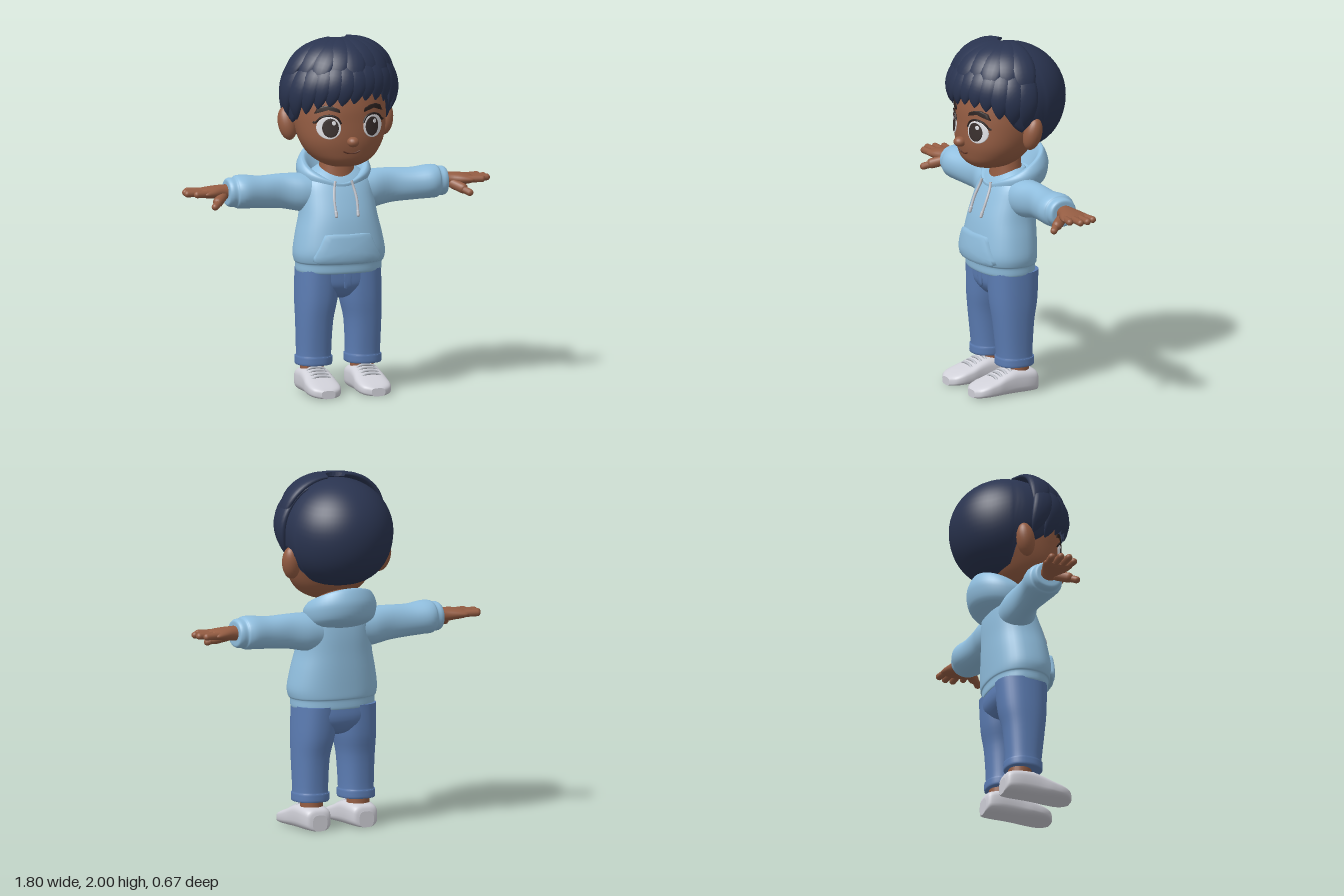
import * as THREE from 'three';

const mat = (name, color) => Object.assign(new THREE.MeshStandardMaterial({ color }), { name });

export function createModel() {
  const root = new THREE.Group();
  root.name = 'boyInHoodie';
  const skin = mat('skin', 0x955d43), hair = mat('hair', 0x2a3450), hoodie = mat('hoodie', 0x90bede),
    denim = mat('denim', 0x5c7db4), shoe = mat('shoe', 0xd0d0d8), white = mat('eyeWhite', 0xe8e8ec),
    dark = mat('pupil', 0x3a302e), brow = mat('brow', 0x2b211f), cord = mat('cord', 0xbfc2ca), lip = mat('mouthLine', 0x5a3226);

  const add = (name, geometry, material) => {
    const m = new THREE.Mesh(geometry, material);
    m.name = name;
    root.add(m);
    return m;
  };

  // Catmull-Rom in-betweens for rows of section numbers
  const smooth = (rows, k = 4) => {
    const out = [];
    for (let i = 0; i < rows.length - 1; i++) for (let s = 0; s < k; s++) {
      const t = s / k;
      out.push(rows[i].map((b, c) => {
        const a = rows[Math.max(i - 1, 0)][c], d = rows[i + 1][c], e = rows[Math.min(i + 2, rows.length - 1)][c];
        const v = 0.5 * (2 * b + (d - a) * t + (2 * a - 5 * b + 4 * d - e) * t * t + (3 * b - a - 3 * d + e) * t ** 3);
        return Math.min(Math.max(v, Math.min(b, d)), Math.max(b, d));
      }));
    }
    out.push(rows[rows.length - 1]);
    return out;
  };

  // Closed skin over rings of points, capped at both ends and turned outward
  const loft = (rings) => {
    const n = rings[0].length, p = rings.flat(), idx = [];
    for (let i = 0; i < rings.length - 1; i++) for (let j = 0; j < n; j++) {
      const a = i * n + j, b = i * n + (j + 1) % n;
      idx.push(a, b, a + n, b, b + n, a + n);
    }
    [rings[0], rings[rings.length - 1]].forEach((ring, end) => {
      const o = p.length;
      p.push(...ring, [0, 1, 2].map(c => ring.reduce((s, q) => s + q[c], 0) / n));
      for (let j = 0; j < n; j++) {
        const a = o + j, b = o + (j + 1) % n;
        idx.push(...(end ? [a, b, o + n] : [b, a, o + n]));
      }
    });
    let vol = 0;
    for (let i = 0; i < idx.length; i += 3) {
      const [a, b, c] = [p[idx[i]], p[idx[i + 1]], p[idx[i + 2]]];
      vol += a[0] * (b[1] * c[2] - b[2] * c[1]) + a[1] * (b[2] * c[0] - b[0] * c[2]) + a[2] * (b[0] * c[1] - b[1] * c[0]);
    }
    if (vol < 0) idx.reverse();
    const g = new THREE.BufferGeometry();
    g.setAttribute('position', new THREE.Float32BufferAttribute(p.flat(), 3));
    g.setIndex(idx);
    g.computeVertexNormals();
    return g;
  };
  const oval = (n, e, fn) => Array.from({ length: n }, (_, i) => {
    const a = i / n * Math.PI * 2, c = Math.cos(a), s = Math.sin(a);
    return fn(Math.sign(c) * Math.abs(c) ** (2 / e), Math.sign(s) * Math.abs(s) ** (2 / e));
  });
  // Upright body from rows [y, centreZ, radiusX, radiusZ, centreX]
  const upright = (rows, e = 2, side = 1) => loft(rows.map(([y, cz, rx, rz, cx = 0]) =>
    oval(40, e, (c, s) => [side * (cx + rx * c), y, cz + rz * s])));
  // Front surface of such a body
  const front = (rows, e) => (x, y) => {
    let i = 0;
    while (i < rows.length - 2 && rows[i + 1][0] < y) i++;
    const t = (y - rows[i][0]) / (rows[i + 1][0] - rows[i][0]);
    const [, cz, rx, rz] = rows[i].map((v, c) => v + (rows[i + 1][c] - v) * t);
    return cz + rz * Math.max(0, 1 - (Math.abs(x) / rx) ** e) ** (1 / e);
  };
  // Thin plate that follows a front surface
  const plate = (surface, outline, lift) => {
    const cx = outline.reduce((s, p) => s + p[0], 0) / outline.length, cy = outline.reduce((s, p) => s + p[1], 0) / outline.length;
    return loft([[1, -0.004], [1, lift * 0.7], [0.96, lift], [0.75, lift], [0.5, lift], [0.25, lift], [0.03, lift]].map(([k, o]) =>
      outline.map(([x, y]) => {
        const px = cx + (x - cx) * k, py = cy + (y - cy) * k;
        return [px, py, surface(px, py) + o];
      })));
  };
  const disc = (cx, cy, rx, ry) => oval(28, 2, (c, s) => [cx + rx * c, cy + ry * s]);
  const tube = (pts, r) => new THREE.TubeGeometry(new THREE.CatmullRomCurve3(pts.map(p => new THREE.Vector3(...p))), 16, r, 8);
  const capsule = (name, a, b, r, material) => {
    const A = new THREE.Vector3(...a), B = new THREE.Vector3(...b), d = B.clone().sub(A);
    const m = add(name, new THREE.CapsuleGeometry(r, d.length(), 6, 12), material);
    m.position.copy(A).add(B).multiplyScalar(0.5);
    m.quaternion.setFromUnitVectors(new THREE.Vector3(0, 1, 0), d.normalize());
  };

  // Head, neck and nose
  const headRows = smooth([[1.285, 0.11, 0.03, 0.03], [1.296, 0.105, 0.095, 0.1], [1.33, 0.1, 0.16, 0.15], [1.38, 0.085, 0.208, 0.183],
    [1.45, 0.07, 0.242, 0.21], [1.55, 0.035, 0.262, 0.245], [1.65, 0.01, 0.265, 0.265], [1.78, 0, 0.24, 0.24], [1.86, 0, 0.15, 0.15]]);
  const face = front(headRows, 2.2);
  add('head', upright(headRows, 2.2), skin);
  add('neck', upright([[1.12, 0, 0.125, 0.105], [1.2, 0, 0.105, 0.09], [1.36, 0, 0.09, 0.08]]), skin);
  const nose = add('nose', new THREE.SphereGeometry(0.034, 20, 14), skin);
  nose.position.set(0, 1.447, 0.292);
  nose.scale.set(1, 0.85, 1.05);
  add('mouth', tube([-0.05, -0.025, 0, 0.025, 0.05].map(x => {
    const y = 1.378 + 6 * x * x;
    return [x, y, face(x, y)];
  }), 0.004), lip);

  // Torso of the hoodie with its hem
  const torsoRows = smooth([[0.683, 0.03, 0.225, 0.15], [0.69, 0.033, 0.243, 0.163], [0.735, 0.035, 0.246, 0.166], [0.748, 0.037, 0.255, 0.175],
    [0.8, 0.04, 0.262, 0.18], [0.9, 0.033, 0.245, 0.175], [1.0, 0.023, 0.222, 0.165], [1.1, 0.005, 0.21, 0.147],
    [1.18, -0.01, 0.2, 0.125], [1.23, -0.02, 0.16, 0.1], [1.27, -0.03, 0.1, 0.07]]);
  const chest = front(torsoRows, 2.3);
  add('hoodieBody', upright(torsoRows, 2.3), hoodie);
  const half = [[0, 0.91], [0.08, 0.912], [0.13, 0.908], [0.145, 0.88], [0.165, 0.835], [0.192, 0.785], [0.195, 0.76], [0.17, 0.748], [0.09, 0.746]];
  add('frontPocket', plate(chest, [...half, [0, 0.745], ...half.slice(1).reverse().map(([x, y]) => [-x, y])], 0.02), hoodie);

  // Hood: rows [radiusX, centreZ, frontZ, backZ, y, tilt] from lining over the rim to the base
  add('hood', loft(smooth([[0.12, -0.03, 0.09, 0.1, 1.21, 0.05], [0.16, -0.04, 0.12, 0.14, 1.285, 0.08], [0.188, -0.04, 0.15, 0.17, 1.295, 0.085],
    [0.212, -0.05, 0.172, 0.19, 1.25, 0.05], [0.195, -0.05, 0.155, 0.17, 1.175, 0.035], [0.13, -0.04, 0.1, 0.1, 1.13, 0.02]], 5)
    .map(([rx, cz, zf, zb, y, tilt]) => oval(48, 2, (c, s) =>
      [rx * c, y - tilt * s - 0.025 * Math.max(0, s) ** 8, cz + (s > 0 ? zf : zb) * s]))), hoodie);

  // Jeans: seat and fly
  const seatRows = smooth([[0.53, 0.02, 0.04, 0.05], [0.55, 0.02, 0.1, 0.1], [0.6, 0.02, 0.21, 0.138], [0.65, 0.02, 0.24, 0.148], [0.72, 0.025, 0.238, 0.148]]);
  const seatFront = front(seatRows, 2.4);
  add('jeansSeat', upright(seatRows, 2.4), denim);
  add('jeansFly', plate(seatFront, [[-0.01, 0.7], [-0.01, 0.6], [0.01, 0.59], [0.03, 0.61], [0.035, 0.7]], 0.008), denim);

  const shoeRows = smooth([[-0.1, 0.045, 0.09], [-0.085, 0.074, 0.12], [-0.03, 0.087, 0.135], [0.05, 0.088, 0.14], [0.11, 0.09, 0.125],
    [0.17, 0.096, 0.1], [0.23, 0.095, 0.08], [0.275, 0.078, 0.062], [0.3, 0.04, 0.046]]);

  for (const s of [1, -1]) {
    const side = s > 0 ? 'left' : 'right';
    const plateOn = (name, outline, lift, m) => add(side + name, plate(face, outline, lift), m);
    // Eye, lash, brow and ear
    plateOn('Eye', disc(s * 0.129, 1.527, 0.063, 0.064), 0.004, white);
    plateOn('Pupil', disc(s * 0.122, 1.527, 0.043, 0.054), 0.007, dark);
    plateOn('EyeGlint', disc(s * 0.122 + 0.016, 1.555, 0.011, 0.013), 0.009, white);
    add(side + 'Lash', tube([[0.066, 1.55], [0.085, 1.583], [0.125, 1.597], [0.17, 1.585], [0.196, 1.555], [0.205, 1.556]]
      .map(([x, y]) => [s * x, y, face(x, y) + 0.002]), 0.006), brow);
    plateOn('Brow', [[0.07, 1.612], [0.1, 1.626], [0.14, 1.63], [0.175, 1.622], [0.2, 1.605], [0.185, 1.638], [0.15, 1.652], [0.11, 1.648], [0.075, 1.632]]
      .map(([x, y]) => [s * x, y]), 0.008, brow);
    const ear = add(side + 'Ear', new THREE.SphereGeometry(1, 24, 18), skin);
    ear.position.set(s * 0.285, 1.52, -0.015);
    ear.scale.set(0.052, 0.095, 0.052);
    ear.rotation.set(-0.15, s * 0.35, -s * 0.15);

    // Sleeve with cuff, rows [x, y, z, radiusY, radiusZ]
    const along = rows => loft(smooth(rows).map(([x, y, z, ry, rz]) => oval(32, 2.1, (c, k) => [s * x, y + ry * c, z + rz * k])));
    add(side + 'Sleeve', along([[0.08, 1.12, -0.015, 0.1, 0.1], [0.2, 1.125, -0.02, 0.108, 0.1], [0.32, 1.137, -0.027, 0.098, 0.078],
      [0.44, 1.139, -0.02, 0.091, 0.09], [0.54, 1.147, -0.015, 0.094, 0.108], [0.585, 1.147, -0.015, 0.092, 0.1], [0.6, 1.147, -0.015, 0.082, 0.088],
      [0.625, 1.147, -0.015, 0.082, 0.086], [0.643, 1.147, -0.015, 0.072, 0.076], [0.645, 1.147, -0.015, 0.05, 0.055]]), hoodie);
    // Hand
    add(side + 'Palm', along([[0.62, 1.15, -0.018, 0.042, 0.045], [0.67, 1.152, -0.018, 0.04, 0.053], [0.73, 1.153, -0.015, 0.034, 0.075],
      [0.78, 1.152, -0.015, 0.026, 0.085], [0.805, 1.152, -0.015, 0.014, 0.07]]), skin);
    [[-0.082, 0.853], [-0.037, 0.876], [0.01, 0.88], [0.055, 0.838]].forEach(([z, x], i) =>
      capsule(side + 'Finger' + (i + 1), [s * 0.75, 1.154, -0.015 + (z + 0.015) * 0.8], [s * x, 1.155, z], 0.0195, skin));
    capsule(side + 'ThumbBase', [s * 0.68, 1.13, 0.02], [s * 0.72, 1.11, 0.07], 0.029, skin);
    capsule(side + 'Thumb', [s * 0.705, 1.115, 0.065], [s * 0.75, 1.09, 0.107], 0.02, skin);

    // Drawstring
    add(side + 'Drawstring', tube([[0.048, 1.2], [0.055, 1.17], [0.066, 1.1], [0.064, 1.015]].map(([x, y], i) =>
      [s * x, y, chest(x, y) + (i ? 0.012 : 0.022)]), 0.0075), cord);
    capsule(side + 'DrawstringTip', [s * 0.064, 1.035, chest(0.064, 1.035) + 0.012], [s * 0.064, 1.013, chest(0.064, 1.013) + 0.012], 0.009, cord);

    // Trouser leg with rolled cuff
    add(side + 'Leg', upright(smooth([[0.158, 0.025, 0.085, 0.09, 0.147], [0.163, 0.025, 0.102, 0.107, 0.145], [0.205, 0.025, 0.103, 0.108, 0.144],
      [0.214, 0.026, 0.096, 0.1, 0.144], [0.4, 0.03, 0.102, 0.116, 0.142], [0.53, 0.025, 0.116, 0.136, 0.13], [0.7, 0.022, 0.124, 0.146, 0.118]]), 2.3, s), denim);
    add(side + 'HipPocketSeam', tube([[0.14, 0.685], [0.15, 0.65], [0.18, 0.63], [0.21, 0.625]].map(([x, y]) =>
      [s * x, y, seatFront(x, y) + 0.002]), 0.004), denim);

    // Shoe, laces and ankle
    add(side + 'Shoe', loft(shoeRows.map(([z, rx, top]) => oval(36, 3.2, (c, k) => [s * 0.147 + rx * c, top * (1 + k) / 2, z]))), shoe);
    add(side + 'Ankle', new THREE.CylinderGeometry(0.065, 0.065, 0.12, 24), skin).position.set(s * 0.147, 0.13, 0.005);
    [0.075, 0.105, 0.135, 0.165].forEach((z, i) => {
      const y = 0.141 - i * 0.012;
      add(side + 'Lace' + (i + 1), tube([[-0.055, y - 0.012, z], [-0.03, y, z], [0.03, y, z], [0.055, y - 0.012, z]]
        .map(([x, py, pz]) => [s * 0.147 + x, py, pz]), 0.008), cord);
    });
  }

  // Rounded hair volume; a = turn from the front, phi = angle from the top
  const scalp = (a, phi, off = 0) => {
    const k = Math.sin(phi) ** (phi > Math.PI / 2 ? 0.75 : 1), c = Math.cos(a);
    return new THREE.Vector3(Math.sin(a) * k * (0.315 + off), 1.68 + Math.cos(phi) * (0.3 + off), -0.02 + c * k * ((c > 0 ? 0.328 : 0.32) + off));
  };
  const phiAt = y => Math.acos(THREE.MathUtils.clamp((y - 1.68) / 0.3, -1, 1));
  // Hairline height: fringe, sideburn, ear gap, nape
  const hairline = a => {
    const line = [[0, 1.74], [0.9, 1.7], [1.2, 1.56], [1.35, 1.53], [1.5, 1.6], [1.62, 1.6], [1.8, 1.4], [2.2, 1.385], [3.2, 1.385]];
    const b = Math.abs(a), i = Math.max(1, line.findIndex(p => p[0] >= b)), [p, q] = [line[i - 1], line[i]];
    return p[1] + (q[1] - p[1]) * (b - p[0]) / (q[0] - p[0]);
  };
  const capRings = [];
  for (let i = 0; i <= 26; i++) capRings.push(Array.from({ length: 80 }, (_, j) => {
    const a = (j / 80 * 2 - 1) * Math.PI, edge = phiAt(hairline(a));
    return scalp(a, Math.max(0.01, Math.min(i / 24, 1) * edge), i > 24 ? -0.035 * (i - 24) : 0).toArray();
  }));
  add('hairCap', loft(capRings), hair);

  // Leaf-shaped locks sweeping from the crown to their tips
  const lock = (name, a0, y0, a1, y1, width, off) => {
    const p0 = phiAt(y0), p1 = phiAt(y1), rings = [];
    const at = t => scalp(a0 + (a1 - a0) * t ** 0.7, p0 + (p1 - p0) * t, off + 0.018 * Math.sin(Math.PI * t) - 0.004 * t);
    for (let i = 0; i <= 16; i++) {
      const t = i / 16, p = at(t), n = p.clone().sub(new THREE.Vector3(0, 1.66, 0)).normalize();
      const side = at(Math.min(1, t + 0.01)).sub(at(Math.max(0, t - 0.01))).cross(n).normalize();
      const w = Math.max(0.02, Math.sin(Math.PI * (0.12 + 0.87 * t ** 1.25)) ** 0.75);
      rings.push(oval(14, 2, (c, k) => p.clone().addScaledVector(side, width * w * c).addScaledVector(n, 0.024 * w * k).toArray()));
    }
    add(name, loft(rings), hair);
  };
  const under = [[-1.42, 1.57], [-1.15, 1.56], [-0.9, 1.6], [-0.66, 1.635], [-0.44, 1.65], [-0.22, 1.655], [0, 1.665],
    [0.22, 1.68], [0.45, 1.675], [0.68, 1.66], [0.92, 1.62], [1.16, 1.585], [1.4, 1.56]];
  under.forEach(([a, y], i) => lock('fringeLock' + (i + 1), a * 0.85 + 0.22, 1.93, a, y, 0.062, 0.004));
  const over = [[-1.4, 1.72], [-1.05, 1.76], [-0.7, 1.74], [-0.35, 1.77], [0, 1.75], [0.35, 1.78], [0.7, 1.75], [1.05, 1.77], [1.4, 1.73]];
  over.forEach(([a, y], i) => lock('crownLock' + (i + 1), a * 0.8 + 0.25, 1.975, a, y, 0.07, 0.016));
  return root;
}
